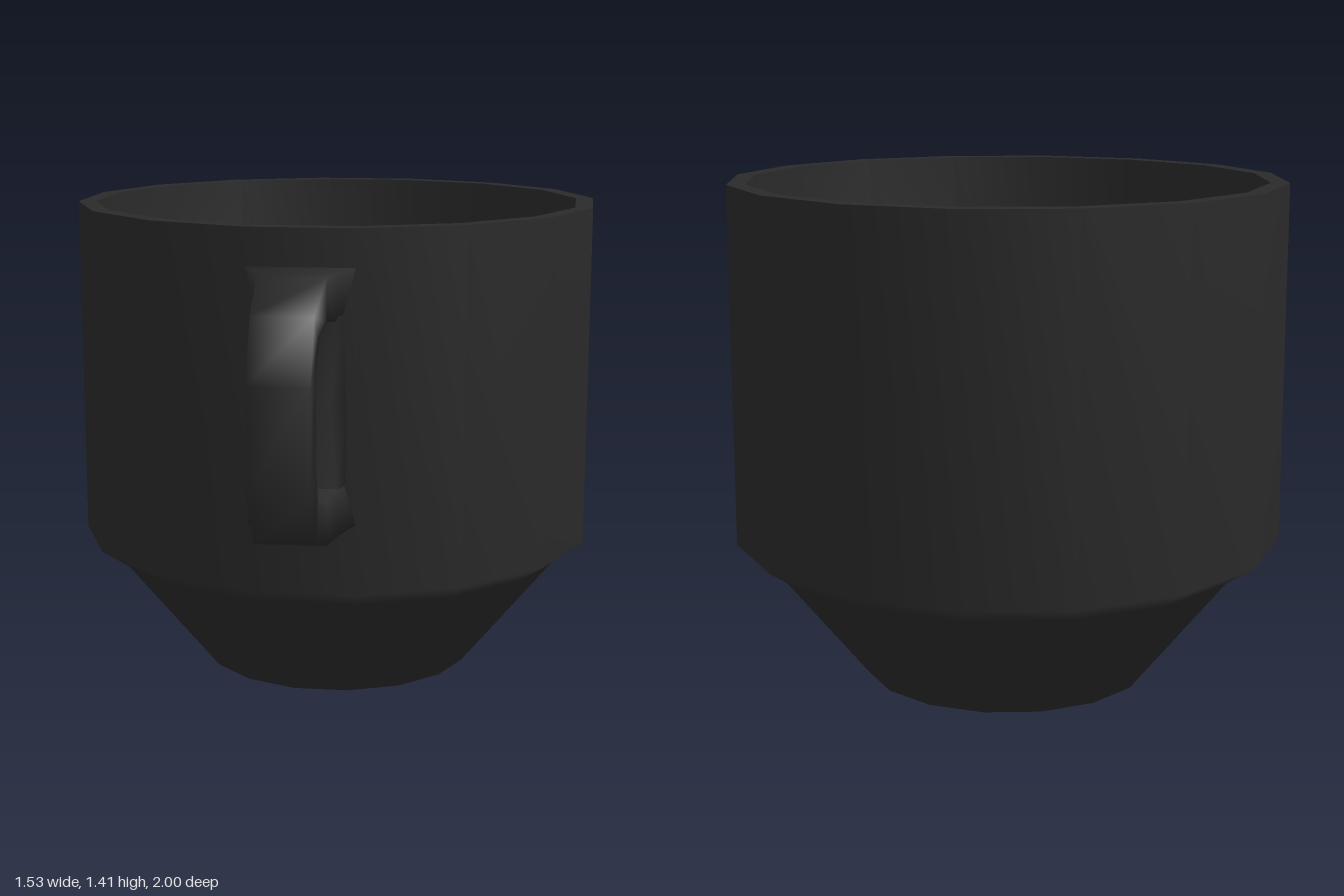
import * as THREE from 'three';

const SIDES = 16;
const TURN = THREE.MathUtils.degToRad(9.8); // rotation of the faceted body
const CENTER_Z = -0.235;
const HANDLE_X = -0.02;

const glaze = new THREE.MeshStandardMaterial({ color: 0x2a2a2a });

// Lofts a four-cornered bar; each row: [outerZ, outerY, outerHalfWidth, innerZ, innerY, innerHalfWidth]
function loftBar(rows) {
  const positions = [];
  const index = [];
  for (const [oz, oy, ow, iz, iy, iw] of rows) {
    positions.push(-ow, oy, oz, ow, oy, oz, iw, iy, iz, -iw, iy, iz);
  }
  for (let i = 0; i < rows.length - 1; i++) {
    for (let k = 0; k < 4; k++) {
      const a = i * 4 + k;
      const b = i * 4 + ((k + 1) % 4);
      index.push(a, a + 4, b, a + 4, b + 4, b);
    }
  }
  const geometry = new THREE.BufferGeometry();
  geometry.setAttribute('position', new THREE.Float32BufferAttribute(positions, 3));
  geometry.setIndex(index);
  geometry.computeVertexNormals();
  return geometry;
}

function addMesh(parent, name, geometry) {
  const mesh = new THREE.Mesh(geometry, glaze);
  mesh.name = name;
  parent.add(mesh);
  return mesh;
}

export function createModel() {
  const cup = new THREE.Group();
  cup.name = 'cup';

  // Body: foot, sloped base, straight wall, rim and hollow inside (repeated points keep edges sharp)
  const profile = [
    [0, 0], [0.407, 0], [0.407, 0],
    [0.695, 0.355], [0.777, 0.41],
    [0.777, 1.415], [0.777, 1.415],
    [0.725, 1.415], [0.725, 1.415],
    [0.72, 0.44], [0.64, 0.38], [0.37, 0.06], [0, 0.06],
  ].map(([r, y]) => new THREE.Vector2(r, y));
  const body = addMesh(cup, 'body', new THREE.LatheGeometry(profile, SIDES, TURN));
  body.position.z = CENTER_Z;

  const handle = new THREE.Group();
  handle.name = 'handle';
  handle.position.x = HANDLE_X;
  cup.add(handle);

  // Grip: leaves the wall flared, loops out and returns
  addMesh(handle, 'grip', loftBar([
    [0.52, 1.31, 0.15, 0.52, 1.18, 0.115],
    [0.62, 1.31, 0.11, 0.61, 1.18, 0.10],
    [0.72, 1.31, 0.09, 0.71, 1.195, 0.09],
    [0.91, 1.24, 0.08, 0.82, 1.165, 0.08],
    [1.00, 1.08, 0.08, 0.875, 1.065, 0.08],
    [0.995, 0.80, 0.08, 0.875, 0.84, 0.08],
    [0.88, 0.65, 0.08, 0.82, 0.745, 0.08],
    [0.72, 0.605, 0.09, 0.72, 0.72, 0.09],
    [0.62, 0.605, 0.11, 0.61, 0.73, 0.10],
    [0.52, 0.61, 0.15, 0.52, 0.73, 0.115],
  ]));

  // Raised pad on the wall between the two ends of the grip
  addMesh(handle, 'wallPad', loftBar([
    [0.61, 1.19, 0.10, 0.52, 1.19, 0.12],
    [0.605, 0.955, 0.085, 0.52, 0.955, 0.125],
    [0.61, 0.72, 0.10, 0.52, 0.72, 0.12],
  ]));

  return cup;
}
